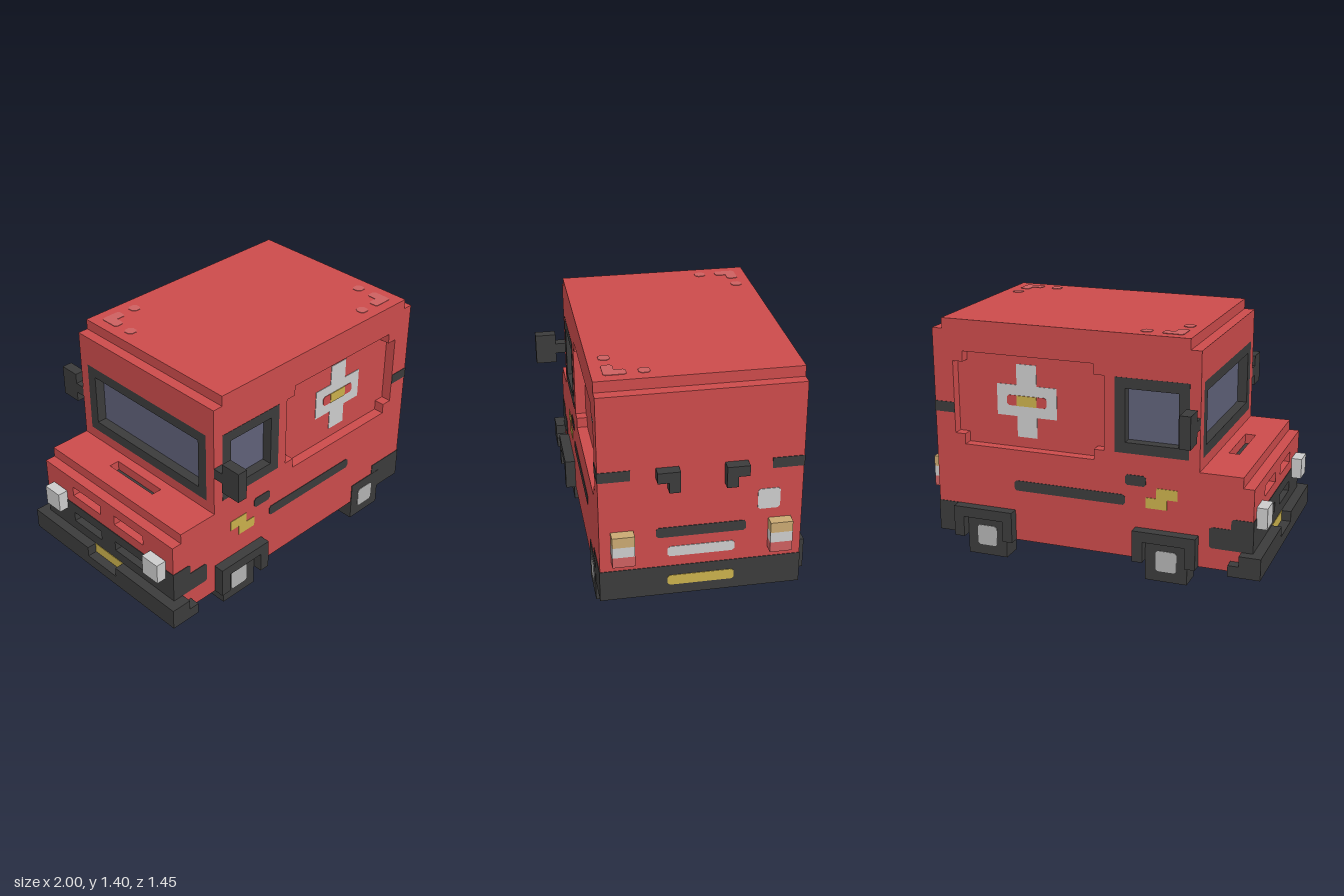
import * as THREE from 'three';

const U = 2 / 33; // one block; all sizes below are in blocks
const T = 0.05; // thickness of painted plates

const colours = {
  red: 0xcb4b4b, paleRed: 0xcd6060, dark: 0x3b3b3b, glass: 0x5f6178,
  white: 0xcccccc, hubGrey: 0xb2b2b2, yellow: 0xc9b04c, amber: 0xc9a872,
};

// Rectangle outline with optional clipped corners
function rect(a0, a1, b0, b1, r = 0) {
  if (!r) return [[a0, b0], [a1, b0], [a1, b1], [a0, b1]];
  return [[a0 + r, b0], [a1 - r, b0], [a1, b0 + r], [a1, b1 - r],
    [a1 - r, b1], [a0 + r, b1], [a0, b1 - r], [a0, b0 + r]];
}

export function createModel() {
  const model = new THREE.Group();
  model.name = 'van';
  const blocks = new THREE.Group();
  blocks.name = 'vanBody';
  blocks.scale.setScalar(U);
  blocks.position.x = -1;
  model.add(blocks);

  const mats = {};
  for (const [name, color] of Object.entries(colours)) {
    mats[name] = new THREE.MeshStandardMaterial({ color });
    mats[name].name = name;
  }

  const add = (name, mat, geo) => {
    const mesh = new THREE.Mesh(geo, mats[mat]);
    mesh.name = name;
    blocks.add(mesh);
  };
  const box = (name, mat, x0, x1, y0, y1, z0, z1) => {
    const geo = new THREE.BoxGeometry(x1 - x0, y1 - y0, z1 - z0);
    geo.translate((x0 + x1) / 2, (y0 + y1) / 2, (z0 + z1) / 2);
    add(name, mat, geo);
  };
  // Outline extruded from a to b along an axis; outlines are (x,y), (z,y) or (x,z)
  const slab = (name, mat, axis, a, b, outline, holes = []) => {
    const toVectors = (pts) => pts.map(([p, q]) => new THREE.Vector2(p, q));
    const shape = new THREE.Shape(toVectors(outline));
    for (const h of holes) shape.holes.push(new THREE.Path(toVectors(h)));
    const geo = new THREE.ExtrudeGeometry(shape, { depth: b - a, bevelEnabled: false });
    if (axis === 'z') geo.translate(0, 0, a);
    if (axis === 'x') geo.rotateY(-Math.PI / 2).translate(b, 0, 0);
    if (axis === 'y') geo.rotateX(Math.PI / 2).translate(0, b, 0);
    add(name, mat, geo);
  };
  // The same slab on both flanks
  const flanks = (name, mat, a, b, outline, holes) => {
    slab(name + 'Left', mat, 'z', a, b, outline, holes);
    slab(name + 'Right', mat, 'z', -b, -a, outline, holes);
  };

  // Solid core between the flanks
  box('cargoCore', 'red', 7, 31, 2, 23, -8, 8);
  box('rearWall', 'red', 31, 32, 2, 22, -8, 8);
  box('dashWall', 'red', 6, 7, 2, 12, -8, 8);
  box('windshieldHeader', 'red', 6, 7, 19, 22, -8, 8);
  box('engineBay', 'red', 2, 6, 2, 10, -8, 8);

  // Flank skins with openings for the window and the recessed panel
  const profile = [[1, 2], [32, 2], [32, 22], [31, 22], [31, 23], [7, 23], [7, 22],
    [6, 22], [6, 11], [2, 11], [2, 10], [1, 10]];
  const windowHole = rect(7.01, 14, 12, 19);
  const panelHole = [[16, 11], [29, 11], [29, 12], [30, 12], [30, 19], [29, 19],
    [29, 20], [16, 20], [16, 19], [15, 19], [15, 12], [16, 12]];
  flanks('flank', 'red', 8, 9, profile, [windowHole, panelHole]);

  // Side windows and windshield
  flanks('sideWindowFrame', 'dark', 8, 9 + T / 2, windowHole, [rect(8, 13, 13, 18)]);
  flanks('sideWindowGlass', 'glass', 8, 8 + T, rect(8, 13, 13, 18));
  slab('windshieldFrame', 'dark', 'x', 6, 7, rect(-8, 8, 12, 19), [rect(-7, 7, 13, 18)]);
  slab('windshieldGlass', 'glass', 'x', 7 - T, 7, rect(-7, 7, 13, 18));

  // Cross emblem on each recessed panel
  flanks('cross', 'white', 8, 8 + T, [[22, 12], [24, 12], [24, 14], [26, 14], [26, 17],
    [24, 17], [24, 19], [22, 19], [22, 17], [20, 17], [20, 14], [22, 14]]);
  flanks('crossInset', 'red', 8, 8 + T * 1.8, rect(21, 25, 15, 16, 0.2));
  flanks('crossCentre', 'yellow', 8, 8 + T * 2.6, rect(22, 24, 15, 16));

  // Painted flank details
  flanks('sideStrip', 'dark', 9, 9 + T, rect(13, 24, 7, 8, 0.2));
  flanks('doorHandle', 'dark', 9, 9 + T, rect(11, 13, 9, 10, 0.2));
  flanks('flankMark', 'yellow', 9, 9 + T,
    [[8, 8], [9, 8], [9, 7], [11, 7], [11, 8], [10, 8], [10, 9], [8, 9]]);
  flanks('rearHinge', 'dark', 9, 9 + T, rect(30, 32 + T, 14, 15));
  flanks('rearCornerGuard', 'dark', 9, 9 + T, rect(28, 32 + T, 2, 5));
  flanks('frontCornerGuard', 'dark', 9, 9 + T,
    [[1 - T, 4], [4.8, 4], [5, 4.2], [5, 5.8], [4.8, 6], [3, 6], [3, 6.8], [2.8, 7], [1 - T, 7]]);

  // Hood with vent slit
  slab('hood', 'red', 'y', 10, 11, rect(2, 6, -8, 8), [rect(4, 5, -3, 3)]);
  slab('hoodVent', 'dark', 'y', 10, 10 + T, rect(4, 5, -3, 3));

  // Nose with recessed slots
  const slots = (y) => [rect(-5, -1, y, y + 1), rect(1, 5, y, y + 1)];
  slab('noseUpper', 'red', 'x', 1, 2, rect(-8, 8, 7, 10), slots(8));
  slab('noseLower', 'dark', 'x', 1 - T, 2, rect(-9, 9, 4, 7), slots(5));
  box('noseBase', 'red', 1, 2, 2, 4, -8, 8);
  for (const s of slots(8)) slab('noseSlotBack', 'dark', 'x', 2 - T, 2, s);

  // Front bumper, notched around the plate
  const low = 2 - T;
  box('bumperLower', 'dark', 0, 3, low, 3, -10, 10);
  for (const s of [-1, 1]) {
    box('bumperUpper', 'dark', 0, 2, 3, 4, s > 0 ? 2 : -10, s > 0 ? 10 : -2);
  }
  slab('frontPlate', 'yellow', 'x', 1 - T * 2, 1, rect(-2, 2, 3, 4));

  // Rear bumper, plates and trim
  slab('rearBumper', 'dark', 'x', 32, 32 + T, rect(-9, 9, 2, 5));
  slab('rearBumperPlate', 'yellow', 'x', 32, 32 + T * 2, rect(-3, 3, 3, 4, 0.2));
  slab('rearPlate', 'white', 'x', 32, 32 + T, rect(-3, 3, 6, 7, 0.2));
  slab('rearStrip', 'dark', 'x', 32, 32 + T, rect(-4, 4, 8, 9, 0.2));
  slab('rearSticker', 'white', 'x', 32, 32 + T, rect(-7, -5, 10, 12, 0.2));

  // Parts repeated on both sides
  for (const s of [-1, 1]) {
    const pair = (name, mat, x0, x1, y0, y1, z0, z1) =>
      box(name, mat, x0, x1, y0, y1, Math.min(s * z0, s * z1), Math.max(s * z0, s * z1));
    pair('headlight', 'white', 0, 1, 6, 8, 6, 8);
    pair('tailLightRed', 'paleRed', 32, 33, 6, 7, 6, 8);
    pair('tailLightWhite', 'white', 32, 33, 7, 8, 6, 8);
    pair('tailLightAmber', 'amber', 32, 33, 8, 9, 6, 8);
    pair('rearHingeWrap', 'dark', 32, 32 + T, 14, 15, 6.2, 9);
    pair('rearHandle', 'dark', 32, 33, 14, 15, 2, 4);
    pair('rearHandleGrip', 'dark', 32, 33, 13, 14, 2, 3);
    pair('mirrorArm', 'dark', 6, 7, 15, 16, 9, 10);
    pair('mirror', 'dark', 6, 7, 14, 17, 10, 12);
    for (const x of [7, 25]) {
      pair('wheel', 'dark', x, x + 4, 0, 4, 7, 9 + T * 1.5);
      const hub = rect(x + 1, x + 3, 1, 3, 0.2);
      const z = 9 + T * 2.5;
      slab('wheelHub', 'hubGrey', 'z', s > 0 ? 9 : -z, s > 0 ? z : -9, hub);
      // The rear left wheel has no arch
      if (x === 25 && s > 0) continue;
      const arch = [[x - 1, 2], [x, 2], [x, 4], [x + 4, 4], [x + 4, 2], [x + 5, 2],
        [x + 5, 5], [x - 1, 5]];
      slab('wheelArch', 'dark', 'z', s > 0 ? 9 : -10, s > 0 ? 10 : -9, arch);
    }
    // Pale patches on opposite roof corners
    const spot = (pts) => slab('roofPatch', 'paleRed', 'y', 23, 23 + T,
      pts.map(([x, z]) => (s < 0 ? [x, z] : [38 - x, -z])));
    spot([[8.2, -8], [9.8, -8], [10, -7.8], [10, -7.2], [9.8, -7], [9, -7], [9, -6.2],
      [8.8, -6], [8.2, -6], [8, -6.2], [8, -7.8]]);
    spot(rect(11, 12, -8, -7, 0.25));
    spot(rect(8, 9, -5, -4, 0.25));
  }

  return model;
}
